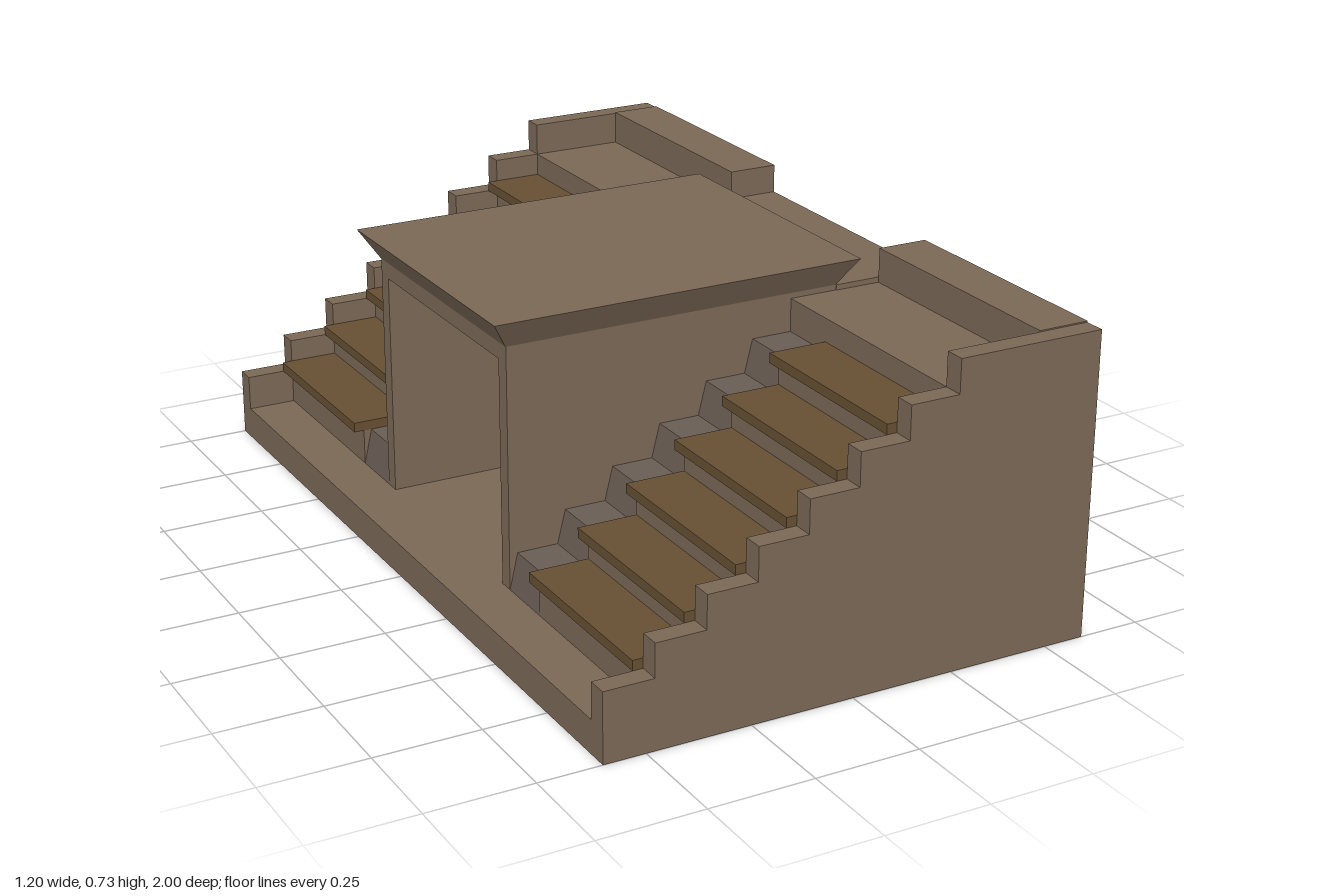
import * as THREE from 'three';

const wallMat = new THREE.MeshStandardMaterial({ color: 0x7b6856, flatShading: true });
const seatMat = new THREE.MeshStandardMaterial({ color: 0x664f33, flatShading: true });
const aisleMat = new THREE.MeshStandardMaterial({ color: 0x695d54, flatShading: true });

const STEP = 0.12, RISE = 0.08, FRONT = -0.48, FLOOR = 0.08, BACK = 0.6;

function add(parent, name, geometry, material = wallMat) {
  const mesh = new THREE.Mesh(geometry, material);
  mesh.name = name;
  parent.add(mesh);
  return mesh;
}

// Box given by its limits on each axis
function block(parent, name, [x0, x1], [y0, y1], [z0, z1], material) {
  const mesh = add(parent, name, new THREE.BoxGeometry(x1 - x0, y1 - y0, z1 - z0), material);
  mesh.position.set((x0 + x1) / 2, (y0 + y1) / 2, (z0 + z1) / 2);
  return mesh;
}

// Side profile in x,y extruded from z0 to z1
function profile(parent, name, points, [z0, z1], material) {
  const shape = new THREE.Shape(points.map(([x, y]) => new THREE.Vector2(x, y)));
  const geometry = new THREE.ExtrudeGeometry(shape, { depth: z1 - z0, bevelEnabled: false });
  geometry.translate(0, 0, z0);
  return add(parent, name, geometry, material);
}

// Stair outline: starts at x, first tread at y, risers may lean back a little
function stairs(x, y, count, end, lean = 0, bottom = 0) {
  const points = [[x, bottom]];
  if (lean) points.push([x, FLOOR]);
  for (let i = 0; i < count; i++) {
    const sx = x + i * STEP, top = y + i * RISE;
    const last = i === count - 1;
    points.push([sx + lean, top], [last ? end : sx + STEP, top]);
  }
  points.push([end, bottom]);
  return points;
}

export function createModel() {
  const model = new THREE.Group();
  model.name = 'seatingStand';

  // Low walkway that also floors the booth
  block(model, 'walkway', [-0.6, FRONT], [0, FLOOR], [-0.95, 0.95]);
  block(model, 'boothFloor', [FRONT, 0.36], [0, FLOOR], [-0.33, 0.33]);

  for (const side of [1, -1]) {
    const span = (a, b) => (side > 0 ? [a, b] : [-b, -a]);
    const wing = new THREE.Group();
    wing.name = side > 0 ? 'frontWing' : 'backWing';
    model.add(wing);

    // Stepped outer wall
    profile(wing, 'steppedWall', stairs(-0.6, 0.167, 8, BACK), span(0.95, 1));
    // Terrace under the seats, ending in the upper platform
    profile(wing, 'terrace', stairs(FRONT, 0.167, 7, 0.475), span(0.48, 0.95));
    // Aisle steps beside the booth and the platform behind them
    profile(wing, 'aisleSteps', stairs(FRONT, 0.167, 6, 0.24, 0.02), span(0.33, 0.48), aisleMat);
    block(wing, 'platformEnd', [0.24, 0.475], [0, 0.647], span(0.33, 0.48));
    // Raised back wall
    block(wing, 'backParapet', [0.475, BACK], [0, 0.73], span(0.335, 0.95));

    // Bench planks overhanging each riser
    for (let i = 0; i < 6; i++) {
      const x = FRONT + i * STEP, y = 0.167 + i * RISE;
      block(wing, 'benchPlank', [x - 0.025, x + STEP], [y, y + 0.024], span(0.48, 0.95), seatMat);
    }

    // Booth side wall
    block(model, 'boothSideWall', [FRONT, 0.36], [FLOOR, 0.62], span(0.295, 0.333));
  }

  // Booth ceiling, rear wall and the solid block behind it
  block(model, 'boothCeiling', [FRONT, 0.36], [0.62, 0.66], [-0.333, 0.333]);
  block(model, 'boothRear', [0.36, BACK], [0, 0.66], [-0.335, 0.335]);

  // Flared roof: a box narrowed at its lower edge
  const roof = new THREE.BoxGeometry(0.926, 0.067, 0.74).toNonIndexed();
  const p = roof.attributes.position;
  for (let i = 0; i < p.count; i++) {
    if (p.getY(i) < 0) p.setXYZ(i, Math.sign(p.getX(i)) * 0.42, p.getY(i), Math.sign(p.getZ(i)) * 0.333);
  }
  roof.computeVertexNormals();
  add(model, 'boothRoof', roof).position.set(-0.061, 0.6935, 0);

  return model;
}
